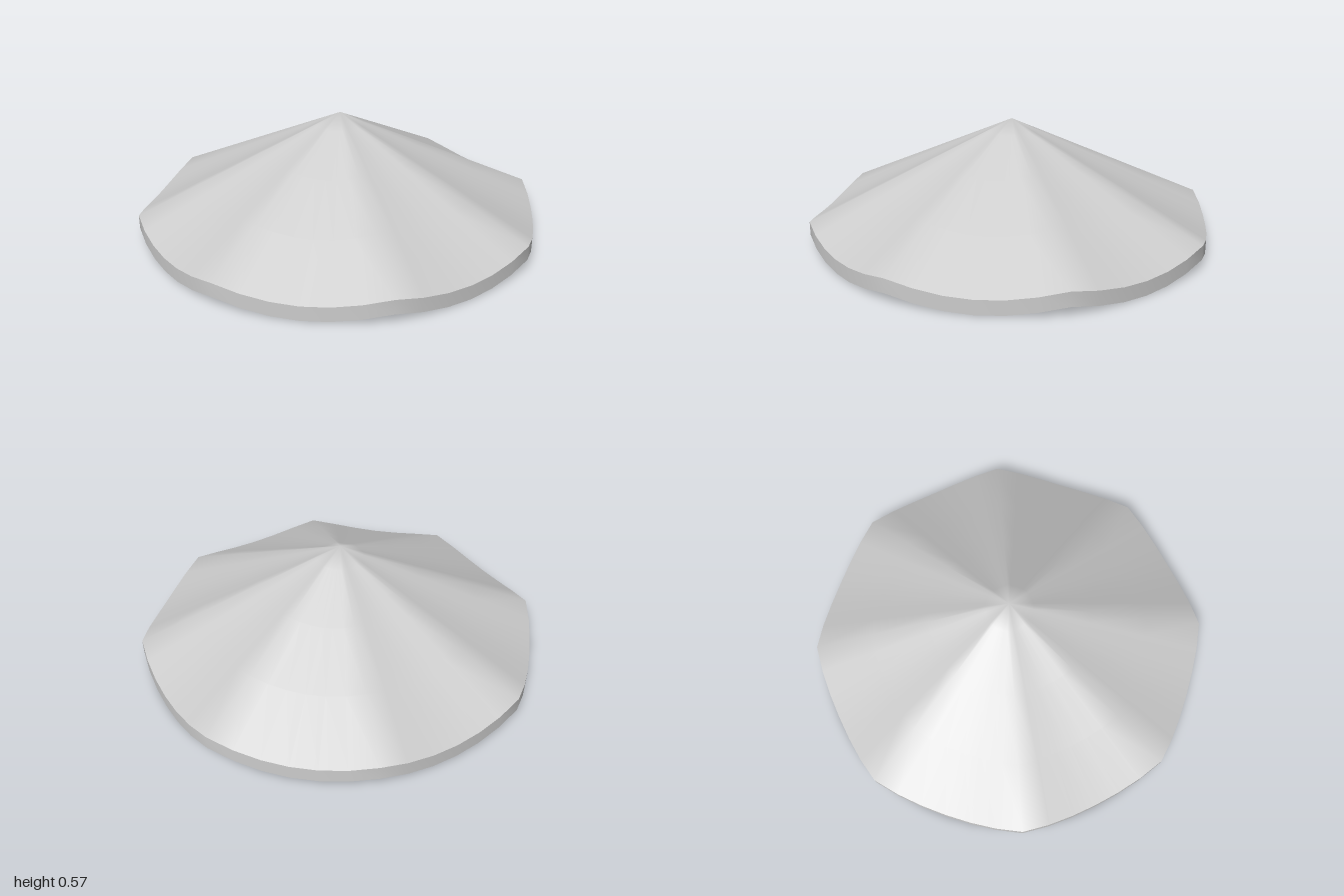
import * as THREE from 'three';

const PANELS = 8;   // scalloped panels between ribs
const STEPS = 6;    // segments across one panel
const APEX_Y = 0.57;
const RIB_Y = 0.115;
const SAG = 0.047;
const DROP = 0.068;

// Rim point: eight ribs at radius 1, sagging and drawn in between them
function rimPoint(j) {
  const bow = Math.sin(Math.PI * (j % STEPS) / STEPS);
  const a = (j / (PANELS * STEPS)) * Math.PI * 2;
  const r = 1 - 0.036 * bow;
  return new THREE.Vector3(Math.sin(a) * r, RIB_Y - SAG * bow, Math.cos(a) * r);
}

// Smooth skin through closed rings; an optional apex closes the first ring
function skin(rings, apex) {
  const n = PANELS * STEPS;
  const points = rings.flat();
  const index = [];
  for (let j = 0; j < n; j++) {
    const k = (j + 1) % n;
    if (apex) index.push(points.length, j, k);
    for (let i = 0; i < rings.length - 1; i++) {
      const p = i * n, q = p + n;
      index.push(p + j, q + j, q + k, p + j, q + k, p + k);
    }
  }
  if (apex) points.push(apex);
  const geometry = new THREE.BufferGeometry().setFromPoints(points);
  geometry.setIndex(index);
  geometry.computeVertexNormals();
  return geometry;
}

export function createModel() {
  const group = new THREE.Group();
  group.name = 'canopy';
  const fabric = new THREE.MeshStandardMaterial({ color: 0xcccccc, side: THREE.DoubleSide });
  fabric.name = 'pale grey fabric';

  const rim = Array.from({ length: PANELS * STEPS }, (_, j) => rimPoint(j));
  const apex = new THREE.Vector3(0, APEX_Y, 0);

  // Pitched roof, straight from apex to rim
  const levels = [0.12, 0.4, 0.7, 1];
  const roofRings = levels.map(t => rim.map(p => apex.clone().lerp(p, t)));
  const roof = new THREE.Mesh(skin(roofRings, apex), fabric);
  roof.name = 'roof';

  // Hanging band around the rim
  const hem = rim.map(p => new THREE.Vector3(p.x, p.y - DROP, p.z));
  const valance = new THREE.Mesh(skin([rim, hem]), fabric);
  valance.name = 'valance';

  group.add(roof, valance);
  return group;
}
